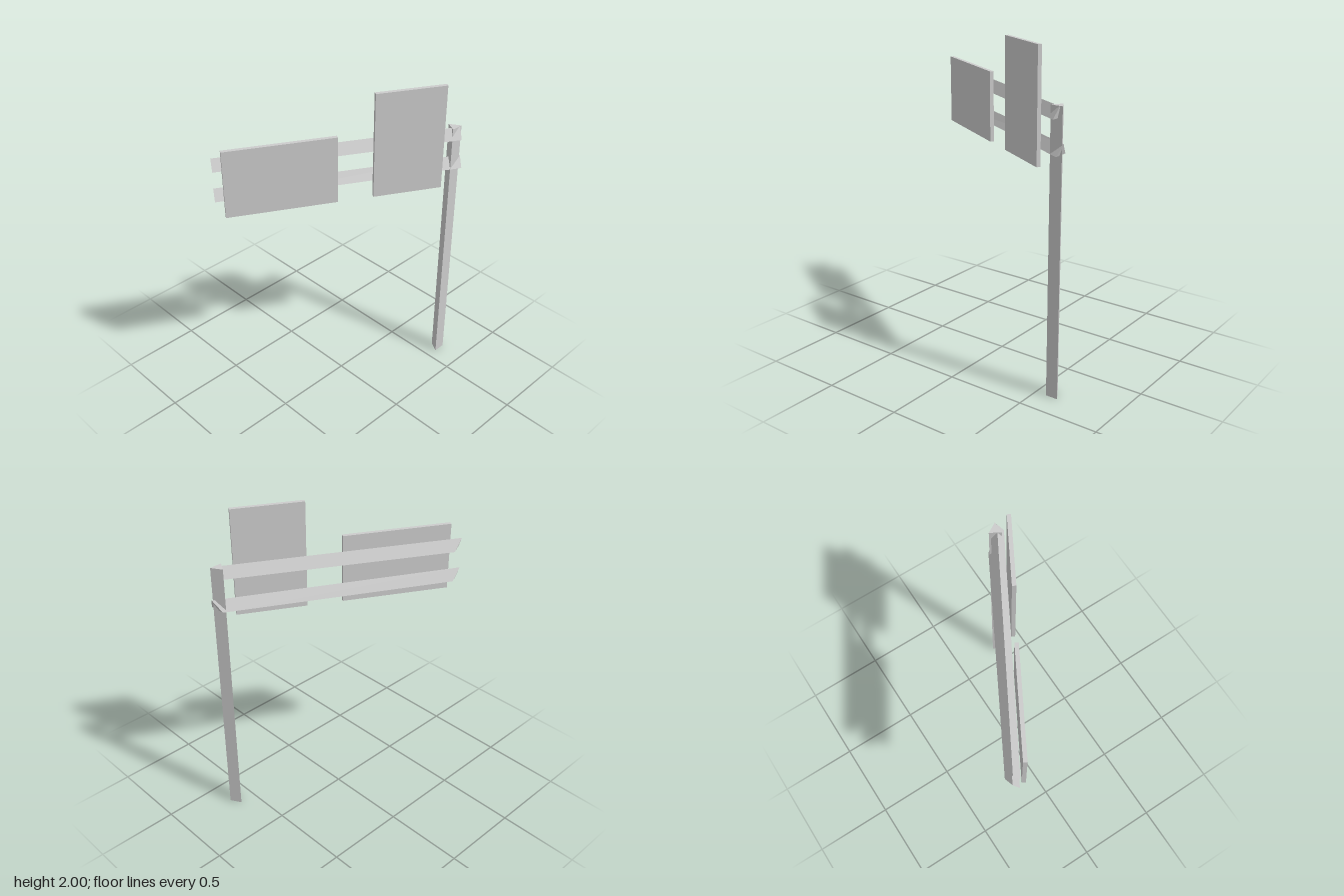
import * as THREE from 'three';

const material = new THREE.MeshStandardMaterial({ color: 0xcccccc, flatShading: true });

function addMesh(group, name, geometry, x = 0, y = 0, z = 0) {
  const mesh = new THREE.Mesh(geometry, material);
  mesh.name = name;
  mesh.position.set(x, y, z);
  group.add(mesh);
  return mesh;
}

// Triangular beam between two end sections, each listed as front, ridge, back corner
function beamGeometry(left, right) {
  const index = [0, 1, 2, 5, 4, 3];
  for (let i = 0; i < 3; i++) {
    const j = (i + 1) % 3;
    index.push(i, i + 3, j + 3, i, j + 3, j);
  }
  const indexed = new THREE.BufferGeometry();
  indexed.setAttribute('position', new THREE.Float32BufferAttribute([...left, ...right].flat(), 3));
  indexed.setIndex(index);
  const geometry = indexed.toNonIndexed();
  geometry.computeVertexNormals();
  return geometry;
}

export function createModel() {
  const group = new THREE.Group();
  group.name = 'roadSign';

  // Three-sided post, flat side to the front
  const postHeight = 1.695;
  addMesh(group, 'post', new THREE.CylinderGeometry(0.0435, 0.0435, postHeight, 3, 1, false, Math.PI),
    0.608, postHeight / 2, 0.319);

  // Two cross beams with slanted ends; the lower one sits slightly twisted on the post
  const beamHeight = 0.067;
  const leftEnd = (y) => [
    [-0.655, y, -0.342], [-0.635, y + beamHeight, -0.376], [-0.57, y, -0.383],
  ];
  const upper = 1.627, lower = 1.435;
  addMesh(group, 'upperBeam', beamGeometry(leftEnd(upper), [
    [0.61, upper, 0.378], [0.63, upper + beamHeight, 0.344], [0.62, upper, 0.295],
  ]));
  addMesh(group, 'lowerBeam', beamGeometry(leftEnd(lower), [
    [0.632, lower - 0.005, 0.376], [0.655, lower + 0.06, 0.34], [0.628, lower - 0.005, 0.28],
  ]));

  // Sign panels hung in front of the beams
  const panels = [
    { name: 'widePanel', x: -0.34, z: -0.135, width: 0.652, bottom: 1.345, top: 1.765 },
    { name: 'tallPanel', x: 0.3125, z: 0.2325, width: 0.418, bottom: 1.345, top: 2 },
  ];
  for (const { name, x, z, width, bottom, top } of panels) {
    const panel = addMesh(group, name, new THREE.BoxGeometry(width, top - bottom, 0.023),
      x, (bottom + top) / 2, z);
    panel.rotation.y = -THREE.MathUtils.degToRad(29.4);
  }
  return group;
}
